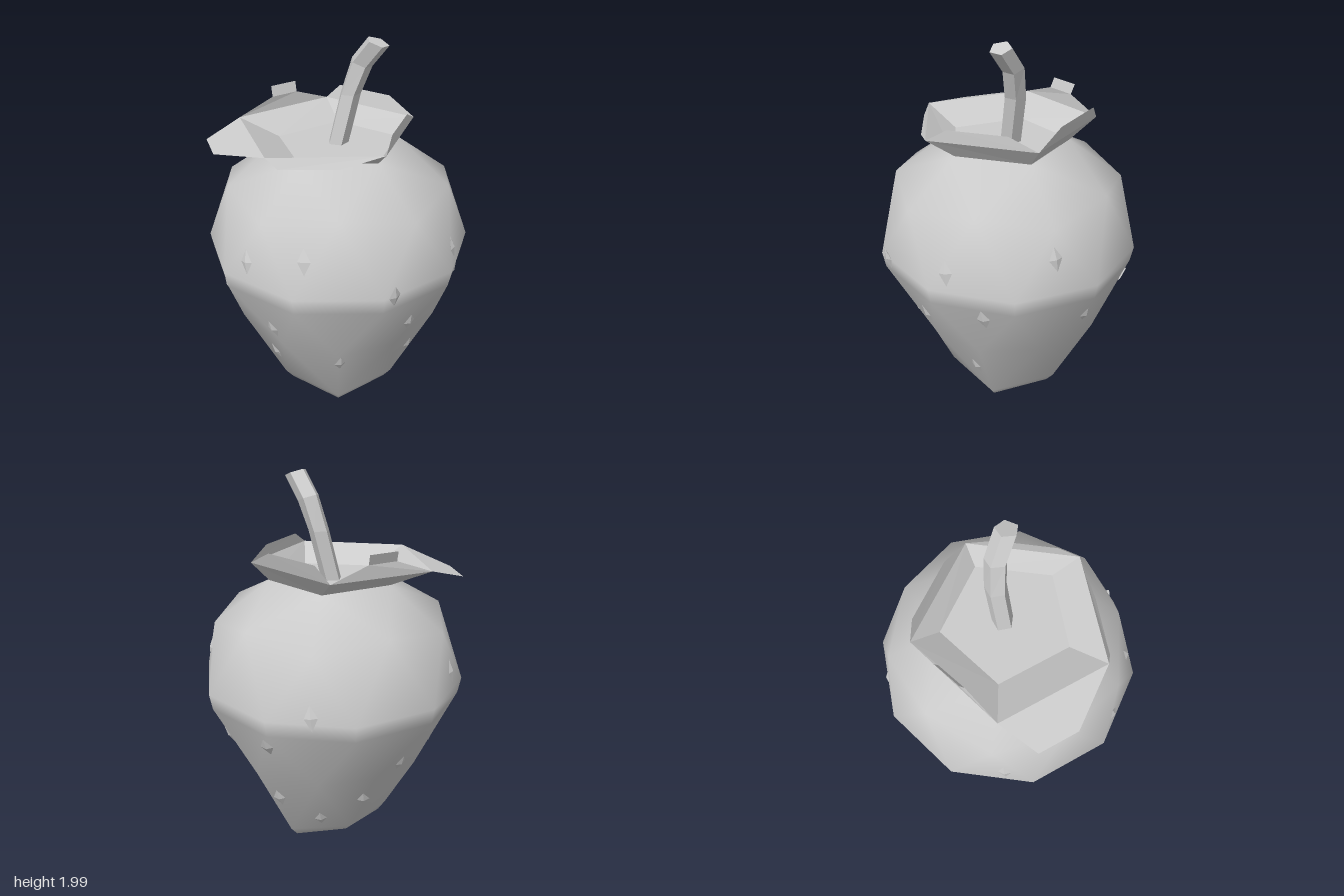
import * as THREE from 'three';

const rad = THREE.MathUtils.degToRad;
const smooth = () => new THREE.MeshStandardMaterial({ color: 0xcccccc });
const flat = () => new THREE.MeshStandardMaterial({ color: 0xcccccc, flatShading: true, side: THREE.DoubleSide });

function makeMesh(name, geometry, material) {
  const mesh = new THREE.Mesh(geometry, material);
  mesh.name = name;
  return mesh;
}

function indexed(points, index) {
  const g = new THREE.BufferGeometry();
  g.setAttribute('position', new THREE.Float32BufferAttribute(points, 3));
  g.setIndex(index);
  g.computeVertexNormals();
  return g;
}

// Fruit: rings of 5 and 10 points, bevelled at the belly and base, closed by a tip
function fruitGeometry() {
  const points = [], index = [];
  // dents: radius factors for single points of a ring
  const ring = (count, phase, even, odd = even, dents = {}) => {
    const start = points.length / 3;
    for (let i = 0; i < count; i++) {
      const [radius, y] = i % 2 ? odd : even;
      const r = radius * (dents[i] ?? 1);
      const a = rad(phase + i * 360 / count);
      points.push(r * Math.cos(a), y, 0.985 * r * Math.sin(a));
    }
    return i => start + i % count;
  };
  // Band between two rings of equal count
  const band = (count, up, low) => {
    for (let i = 0; i < count; i++) {
      index.push(up(i), up(i + 1), low(i), up(i + 1), low(i + 1), low(i));
    }
  };
  const top = ring(5, 0, [0.31, 1.48]);
  const shoulder = ring(10, 0, [0.585, 1.28], [0.555, 1.33]);
  const belly = ring(10, 18, [0.667, 0.98]);
  const bellyLow = ring(10, 18, [0.652, 0.9]);
  const waist = ring(10, 0, [0.475, 0.55], [0.525, 0.58], { 7: 0.9, 8: 0.95 });
  const base = ring(5, 36, [0.31, 0.14], [0.31, 0.14], { 3: 0.7 });
  const baseLow = ring(5, 36, [0.27, 0.09], [0.27, 0.09], { 3: 0.62 });
  const tip = ring(1, 0, [0, 0.005]);

  for (let k = 0; k < 5; k++) {
    const j = 2 * k;
    index.push(top(k), shoulder(j + 1), shoulder(j));
    index.push(top(k), top(k + 1), shoulder(j + 1));
    index.push(top(k + 1), shoulder(j + 2), shoulder(j + 1));
    index.push(waist(j), waist(j + 1), base(k));
    index.push(waist(j + 1), waist(j + 2), base(k));
    index.push(waist(j + 2), base(k + 1), base(k));
    index.push(baseLow(k), baseLow(k + 1), tip(0));
  }
  for (let j = 0; j < 10; j++) {
    index.push(shoulder(j), shoulder(j + 1), belly(j));
    index.push(shoulder(j + 1), belly(j + 1), belly(j));
    index.push(bellyLow(j), bellyLow(j + 1), waist(j + 1));
    index.push(bellyLow(j), waist(j + 1), waist(j));
  }
  band(10, belly, bellyLow);
  band(5, base, baseLow);
  return indexed(points, index);
}

// Leaf collar: a flared five-sided wall with a bent flap along each side
function collarGeometry() {
  const crest = [
    [0.395, 1.57, 0], [0.08, 1.57, 0.425], [-0.425, 1.565, 0.27],
    [-0.425, 1.565, -0.28], [0.08, 1.57, -0.44],
  ];
  const tabStart = [-0.24, 1.635, -0.335], tabEnd = [-0.1, 1.635, -0.385];
  const flaps = [
    [[0.31, 1.63, 0.11], [0.14, 1.63, 0.34]],
    [[-0.12, 1.52, 0.395], [-0.38, 1.52, 0.31]],
    [[-0.61, 1.507, 0.015], [-0.61, 1.507, -0.185]],
    [tabStart, tabEnd],
    [[0.14, 1.645, -0.39], [0.32, 1.645, -0.14]],
  ];
  const points = [], index = [];
  const quad = (...corners) => {
    const n = points.length / 3;
    points.push(...corners.flat());
    index.push(n, n + 1, n + 2, n, n + 2, n + 3);
  };
  const inner = k => [0.31 * Math.cos(rad(72 * k)), 1.48, 0.31 * Math.sin(rad(72 * k))];
  flaps.forEach(([p, q], k) => {
    const a = crest[k], b = crest[(k + 1) % 5];
    quad(inner(k), a, b, inner(k + 1));
    quad(a, p, q, b);
  });
  quad(tabStart, [-0.24, 1.685, -0.355], [-0.1, 1.685, -0.405], tabEnd);
  return indexed(points, index);
}

// Stem: five-sided column whose rows follow a bent path, with a tilted end
function stemGeometry() {
  const path = [[0.16, 1.978, 0.088], [0.11, 1.87, 0.01], [0.065, 1.72, -0.018], [0.005, 1.48, -0.018]];
  const g = new THREE.CylinderGeometry(0.052, 0.052, 3, 5, 3);
  const p = g.attributes.position;
  for (let i = 0; i < p.count; i++) {
    const row = Math.round(1.5 - p.getY(i));
    const [x, y, z] = path[row];
    const tilt = row < 2 ? -0.25 * (p.getX(i) + p.getZ(i)) : 0;
    p.setXYZ(i, x + p.getX(i), y + tilt, z + p.getZ(i));
  }
  return g;
}

export function createModel() {
  const model = new THREE.Group();
  model.name = 'strawberry';

  const fruit = makeMesh('fruit', fruitGeometry(), smooth());
  const cap = makeMesh('fruitTop', new THREE.CircleGeometry(0.31, 5).rotateX(-Math.PI / 2), flat());
  cap.position.y = 1.48;
  model.add(fruit, cap);
  model.add(makeMesh('leafCollar', collarGeometry(), flat()));
  model.add(makeMesh('stem', stemGeometry(), flat()));

  // Seeds: flattened diamonds set on the skin, given as [angle from +x, height]
  const seeds = new THREE.Group();
  seeds.name = 'seeds';
  const seedGeometry = new THREE.OctahedronGeometry(1).scale(0.032, 0.062, 0.012).rotateZ(0.12);
  const spots = [
    [85, 0.98], [47, 1.07], [31, 0.84], [68, 0.71], [43, 0.39], [107, 0.51],
    [146, 0.67], [123, 1.15], [151, 1.08], [165, 0.38], [0, 1.15], [-20, 0.76],
    [-72, 1.01], [-51, 0.82], [-41, 0.41], [-68, 0.24], [210, 1.07], [175, 0.82],
    [202, 0.64], [235, 0.63], [253, 0.4],
  ];
  for (const [angle, y] of spots) {
    const out = new THREE.Vector3(Math.cos(rad(angle)), 0, Math.sin(rad(angle)));
    const from = out.clone().multiplyScalar(2).setY(y);
    const hit = new THREE.Raycaster(from, out.clone().negate()).intersectObject(fruit)[0];
    const seed = makeMesh('seed', seedGeometry, flat());
    seed.position.copy(hit.point);
    seed.lookAt(hit.point.clone().add(hit.face.normal));
    seeds.add(seed);
  }
  model.add(seeds);
  return model;
}
